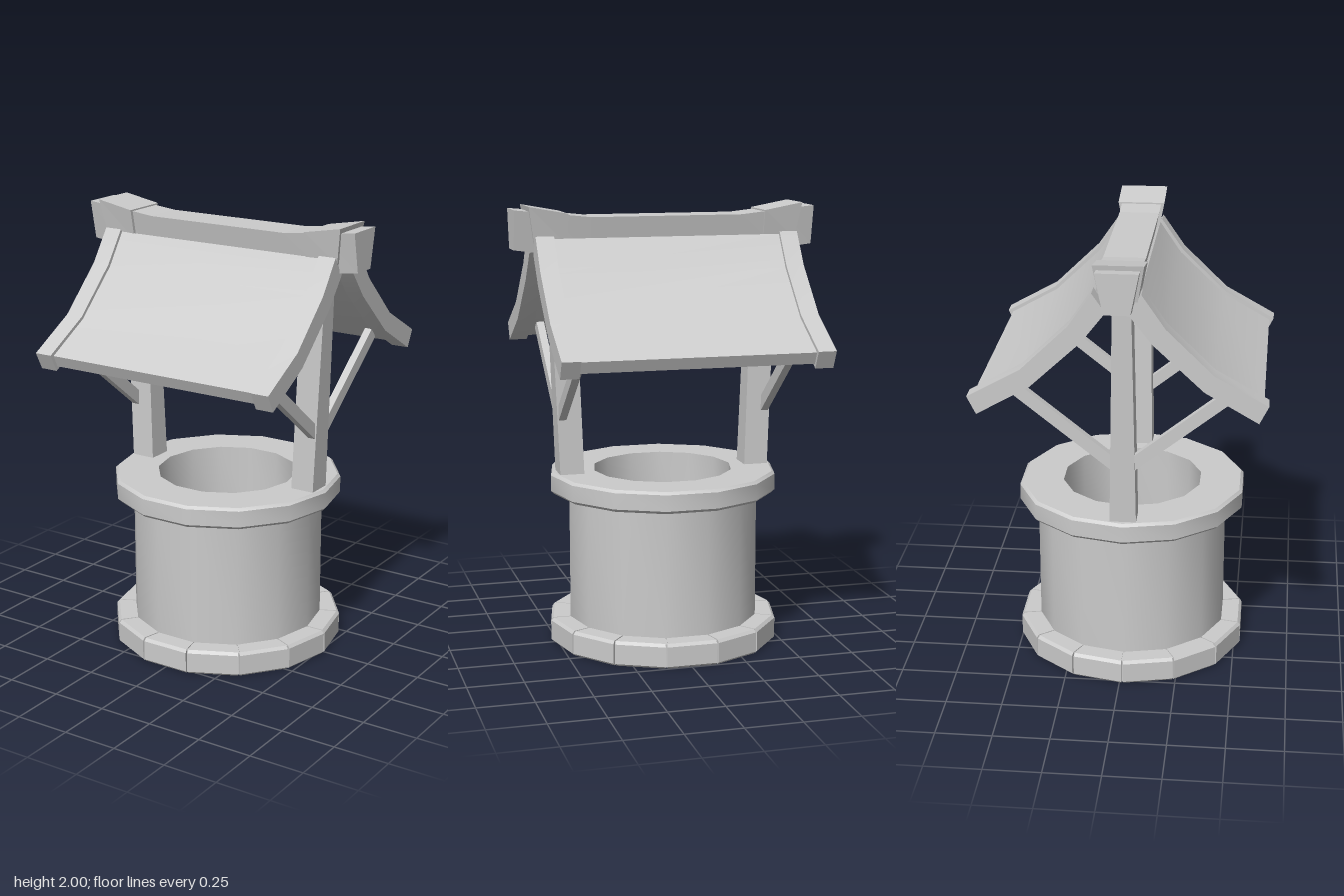
import * as THREE from 'three';
import { mergeGeometries, toCreasedNormals } from 'three/addons/utils/BufferGeometryUtils.js';

const SIDES = 14, STEP = (Math.PI * 2) / SIDES;
const solid = new THREE.MeshStandardMaterial({ color: 0xcccccc });
const open = new THREE.MeshStandardMaterial({ color: 0xcccccc, side: THREE.DoubleSide });

function add(parent, name, geometry, material = solid) {
  const mesh = new THREE.Mesh(geometry, material);
  mesh.name = name;
  parent.add(mesh);
  return mesh;
}

const points = (list) => list.map(([x, y]) => new THREE.Vector2(x, y));

// Revolved 14-sided part with a corner on the x axis
const revolve = (list) =>
  toCreasedNormals(new THREE.LatheGeometry(points(list), SIDES, STEP / 2), 0.6);

// Faceted solid through four-cornered sections, capped at both ends
function loft(sections) {
  const pos = [];
  const quad = (a, b, c, d) => pos.push(...a, ...b, ...c, ...a, ...c, ...d);
  for (let k = 0; k + 1 < sections.length; k++) {
    const s = sections[k], t = sections[k + 1];
    for (let i = 0; i < 4; i++) {
      const j = (i + 1) % 4;
      quad(s[i], s[j], t[j], t[i]);
    }
  }
  quad(...[...sections[0]].reverse());
  quad(...sections[sections.length - 1]);
  const g = new THREE.BufferGeometry();
  g.setAttribute('position', new THREE.Float32BufferAttribute(pos, 3));
  g.computeVertexNormals();
  return g;
}

// Trapezoid section across the ridge: x at top and bottom, heights, half widths
const ridgeSection = (xTop, xBottom, top, bottom, wTop, wBottom) => [
  [xTop, top, -wTop], [xTop, top, wTop], [xBottom, bottom, wBottom], [xBottom, bottom, -wBottom],
];

// Horizontal section of a post
const postSection = (x, y, hx, hz) => [
  [x - hx, y, hz], [x + hx, y, hz], [x + hx, y, -hz], [x - hx, y, -hz],
];

// Roof profile (distance from ridge, height) extruded along x
function roofSlab(profile, width) {
  const g = new THREE.ExtrudeGeometry(new THREE.Shape(points(profile)), {
    depth: width, bevelEnabled: false,
  });
  g.rotateY(-Math.PI / 2).translate(width / 2, 0, 0);
  return toCreasedNormals(g, 0.6);
}

// One hollow stone of the footing
function stoneGeometry(phi) {
  const profile = [[0.518, 0], [0.528, 0.01], [0.528, 0.1], [0.516, 0.113], [0.43, 0.113]];
  const gap = 0.008;
  const outline = new THREE.Shape(points([...profile, [0.43, 0]]));
  const side = (a) => new THREE.ShapeGeometry(outline).rotateY(a - Math.PI / 2);
  const shell = new THREE.LatheGeometry(points(profile), 1, phi + gap, STEP - 2 * gap);
  return toCreasedNormals(mergeGeometries([shell, side(phi + gap), side(phi + STEP - gap)]), 0.3);
}

export function createModel() {
  const model = new THREE.Group();
  model.name = 'well';

  // Round stone base
  const base = new THREE.Group();
  base.name = 'base';
  base.position.z = 0.013;
  model.add(base);
  for (let i = 0; i < SIDES; i++) add(base, 'footingStone', stoneGeometry((i + 0.5) * STEP), open);
  add(base, 'footingJoint', revolve([[0.514, 0.003], [0.514, 0.109], [0.43, 0.109]]), open);
  add(base, 'wall', revolve([[0.437, 0.1], [0.437, 0.72]]), open);
  add(base, 'rim', revolve([
    [0.42, 0.697], [0.508, 0.697], [0.521, 0.71], [0.521, 0.783], [0.508, 0.795], [0.32, 0.795],
  ]), open);
  add(base, 'shaft', revolve([[0.32, 0.795], [0.32, 0.49]]), open);
  add(base, 'shaftFloor', revolve([[0.437, 0.49], [0, 0.49]]), open);

  // Posts with a pair of diagonal braces each
  for (const turn of [0, Math.PI]) {
    const support = new THREE.Group();
    support.name = 'support';
    support.position.z = 0.014;
    support.rotation.y = turn;
    model.add(support);
    add(support, 'post', loft([
      postSection(0.433, 0.78, 0.055, 0.058),
      postSection(0.472, 1.86, 0.057, 0.039),
    ]));
    for (const s of [1, -1]) {
      const rise = 0.335, run = 0.42;
      const brace = add(support, 'brace', new THREE.BoxGeometry(0.035, 0.055, Math.hypot(rise, run) + 0.02));
      brace.position.set(0.475, 1.237, s * 0.25);
      brace.rotation.x = -s * Math.atan2(rise, run);
    }
  }

  // Swept roof: two slopes, each with raised boards at the gable ends
  const board = [[0.045, 1.79], [0.148, 1.658], [0.365, 1.456], [0.594, 1.325],
    [0.633, 1.403], [0.405, 1.53], [0.202, 1.727], [0.102, 1.872]];
  const panel = [[0.045, 1.81], [0.159, 1.674], [0.374, 1.474], [0.588, 1.345],
    [0.612, 1.397], [0.397, 1.518], [0.19, 1.717], [0.093, 1.86]];
  for (const turn of [0, Math.PI]) {
    const slope = new THREE.Group();
    slope.name = 'roofSlope';
    slope.rotation.y = turn;
    model.add(slope);
    add(slope, 'roofPanel', roofSlab(panel, 1.04));
    for (const s of [1, -1]) add(slope, 'gableBoard', roofSlab(board, 0.082)).position.x = s * 0.557;
  }

  // Ridge beam curving up towards its ends
  const ridge = new THREE.Group();
  ridge.name = 'ridge';
  ridge.position.z = 0.01;
  model.add(ridge);
  const half = [[0.685, 1.985, 1.81], [0.53, 1.97, 1.79], [0.345, 1.95, 1.78]];
  const stations = [
    ...half.map(([x, t, b]) => [-x, t, b]),
    ...[...half].reverse(),
  ];
  add(ridge, 'ridgeBeam', loft(stations.map(([x, t, b]) => ridgeSection(x, x, t, b, 0.09, 0.055))));

  // Flared blocks clasping the beam
  for (const turn of [0, Math.PI]) {
    const block = add(ridge, 'ridgeBlock', loft([
      ridgeSection(0.45, 0.45, 1.968, 1.828, 0.106, 0.078),
      ridgeSection(0.625, 0.598, 2.0, 1.84, 0.106, 0.078),
    ]));
    block.rotation.y = turn;
  }
  return model;
}
